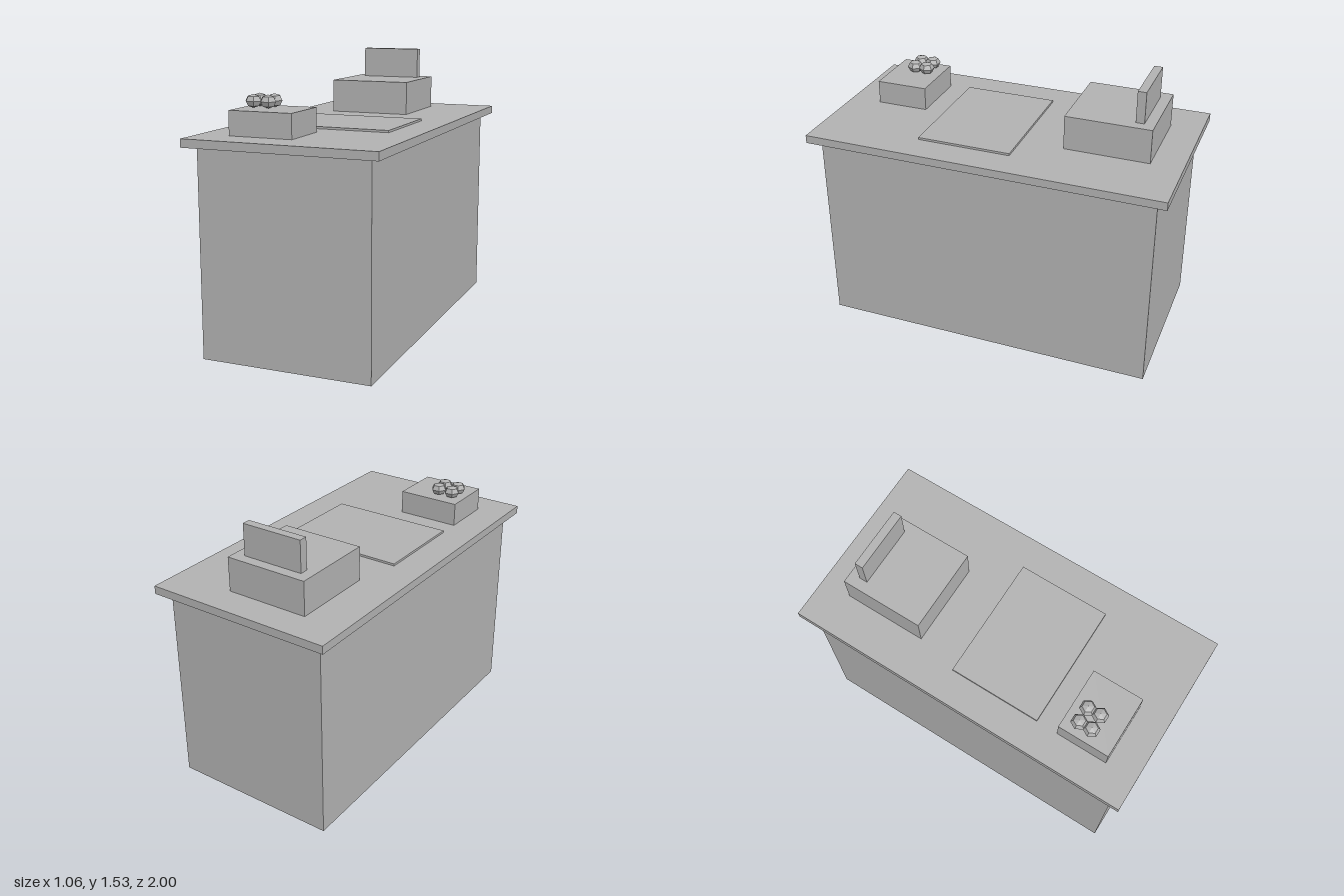
import * as THREE from 'three';

const grey = new THREE.MeshStandardMaterial({ color: 0xb2b2b2, flatShading: true });
grey.name = 'grey';

// Box given by its lower and upper limits on each axis
function block(name, [x0, x1], [y0, y1], [z0, z1]) {
  const mesh = new THREE.Mesh(new THREE.BoxGeometry(x1 - x0, y1 - y0, z1 - z0), grey);
  mesh.position.set((x0 + x1) / 2, (y0 + y1) / 2, (z0 + z1) / 2);
  mesh.name = name;
  return mesh;
}

export function createModel() {
  const model = new THREE.Group();
  model.name = 'shopCounter';
  const top = 1.165;

  // Counter body and overhanging top
  model.add(block('counterBody', [-0.47, 0.47], [0, 1.12], [-0.94, 0.94]));
  model.add(block('counterTop', [-0.528, 0.528], [1.12, top], [-1, 1]));

  // Cash register with upright display
  const register = new THREE.Group();
  register.name = 'cashRegister';
  register.add(block('registerBase', [-0.295, 0.175], [top, 1.355], [-0.825, -0.355]));
  register.add(block('registerDisplay', [-0.235, 0.115], [1.355, 1.53], [-0.767, -0.72]));
  model.add(register);

  // Thin counter mat
  model.add(block('counterMat', [-0.353, 0.352], [top, 1.177], [-0.116, 0.408]));

  // Display box carrying four small faceted balls
  model.add(block('displayBox', [-0.353, 0], [top, 1.295], [0.53, 0.822]));
  const balls = new THREE.Group();
  balls.name = 'balls';
  const ballGeometry = new THREE.SphereGeometry(0.045, 6, 4);
  for (const x of [-0.285, -0.2]) {
    for (const z of [0.61, 0.682]) {
      const ball = new THREE.Mesh(ballGeometry, grey);
      ball.name = 'ball';
      ball.scale.y = 0.78;
      ball.position.set(x, 1.331, z);
      balls.add(ball);
    }
  }
  model.add(balls);

  return model;
}
